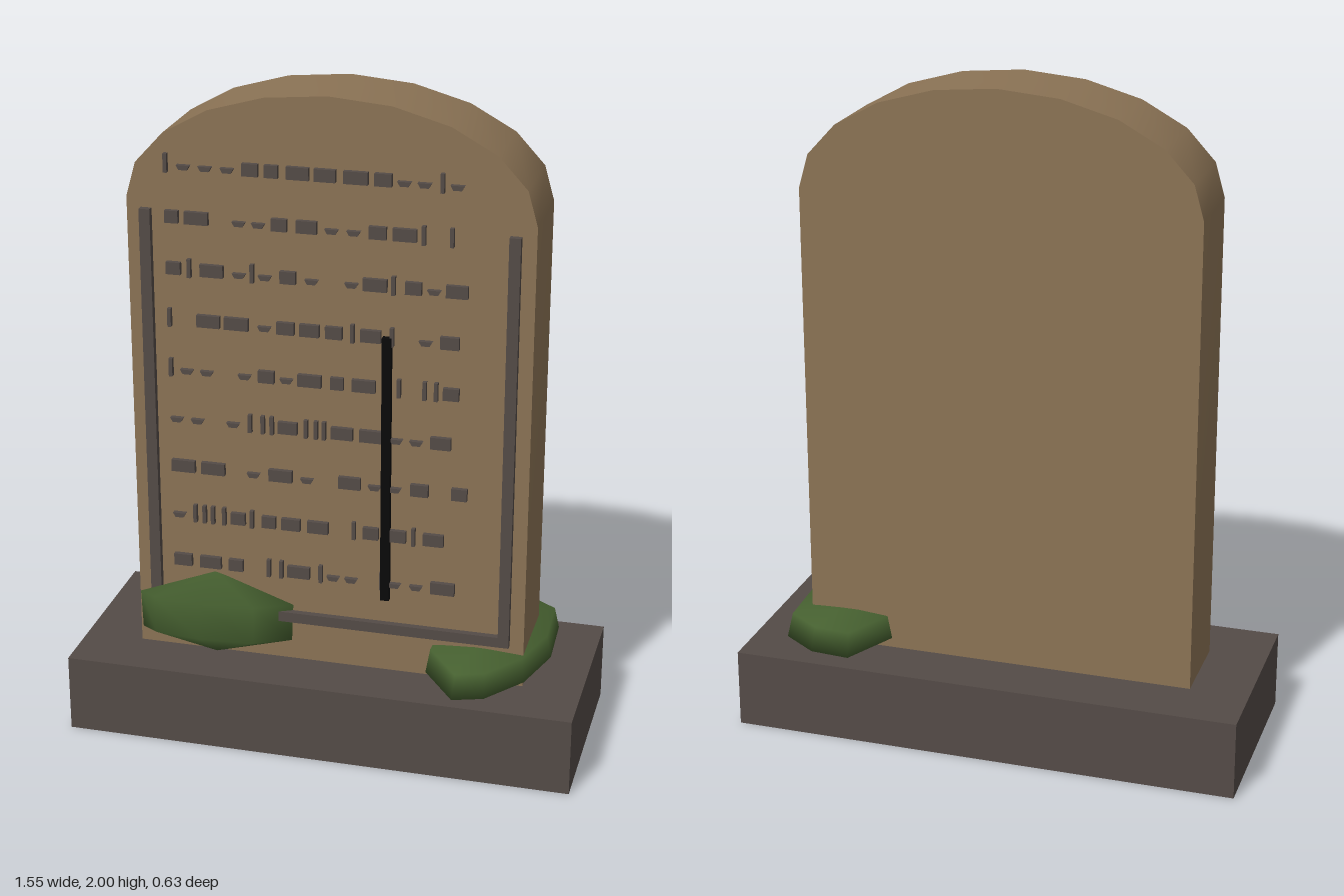
import * as THREE from 'three';
import { mergeGeometries, mergeVertices, toCreasedNormals } from 'three/addons/utils/BufferGeometryUtils.js';

const mat = (name, color) => Object.assign(new THREE.MeshStandardMaterial({ color }), { name });

const FACE = 0.125; // z of the slab's front face

function box(x0, x1, y0, y1, z0, z1) {
  return new THREE.BoxGeometry(x1 - x0, y1 - y0, z1 - z0)
    .translate((x0 + x1) / 2, (y0 + y1) / 2, (z0 + z1) / 2);
}

// Round-topped slab
function slabGeometry() {
  const shape = new THREE.Shape();
  shape.moveTo(-0.597, 0.24);
  shape.lineTo(0.597, 0.24);
  for (let i = 0; i <= 10; i++) {
    const a = (i / 10) * Math.PI;
    shape.lineTo(0.597 * Math.cos(a), 1.67 + 0.33 * Math.sin(a));
  }
  const geo = new THREE.ExtrudeGeometry(shape, { depth: FACE + 0.137, bevelEnabled: false });
  return toCreasedNormals(geo.translate(0, 0, -0.137), 0.6);
}

// Small bowl-shaped mark, flat on top
function dishGeometry(x, y) {
  const shape = new THREE.Shape();
  shape.moveTo(-0.02, 0);
  shape.lineTo(-0.012, -0.014);
  shape.lineTo(0.012, -0.014);
  shape.lineTo(0.02, 0);
  return new THREE.ExtrudeGeometry(shape, { depth: 0.015, bevelEnabled: false }).translate(x, y, FACE);
}

// Nine rows of raised marks: thin ticks, small dishes and blocks of varying width
function inscriptionGeometry() {
  let seed = 7;
  const random = () => {
    seed = (seed * 16807) % 2147483647;
    return seed / 2147483647;
  };
  const parts = [];
  const plate = (x, y, w, h) => parts.push(
    box(x - w / 2, x + w / 2, y - h / 2, y + h / 2, FACE - 0.005, FACE + 0.015).toNonIndexed());
  for (let row = 0; row < 9; row++) {
    const y = 1.776 - 0.155 * row;
    let x = -0.48;
    while (x < 0.385) {
      const kind = random();
      const width = kind < 0.2 ? 0.011 : kind < 0.57 ? 0.04 : 0.038 + 0.035 * random();
      const middle = x + width / 2;
      if (kind < 0.2) plate(middle, y + 0.003, width, 0.056);
      else if (kind < 0.57) parts.push(dishGeometry(middle, y));
      else plate(middle, y, width, 0.037);
      x += width + 0.013 + 0.016 * random() + (random() < 0.2 ? 0.05 : 0);
    }
  }
  return mergeGeometries(parts);
}

// Shrub: a ground outline [x, z] repeated at several levels [y, scale] from top to bottom
function shrubGeometry(outline, [cx, cz], levels) {
  const n = outline.length;
  const pos = [];
  const index = [];
  levels.forEach(([y, s]) => outline.forEach(([x, z]) => pos.push(cx + (x - cx) * s, y, cz + (z - cz) * s)));
  for (let j = 0; j < levels.length - 1; j++) {
    for (let i = 0; i < n; i++) {
      const k = (i + 1) % n;
      const [a, b, c, d] = [j * n + i, j * n + k, (j + 1) * n + i, (j + 1) * n + k];
      index.push(a, b, c, b, d, c);
    }
  }
  let geo = new THREE.BufferGeometry();
  geo.setAttribute('position', new THREE.Float32BufferAttribute(pos, 3));
  geo.setIndex(index);
  geo = mergeVertices(geo); // joins the poles
  geo.computeVertexNormals();
  return geo;
}

export function createModel() {
  const group = new THREE.Group();
  group.name = 'standingStone';
  const stone = mat('brownStone', 0x8b7355);
  const dark = mat('darkStone', 0x544b47);
  const moss = mat('mossGreen', 0x466030);
  const black = mat('crackBlack', 0x0a0a0a);
  const add = (name, geo, material) => {
    const mesh = new THREE.Mesh(geo, material);
    mesh.name = name;
    group.add(mesh);
  };

  add('base', box(-0.775, 0.775, 0, 0.24, -0.315, 0.302), dark);
  add('slab', slabGeometry(), stone);

  // Border strips on the front face
  add('borderRight', box(-0.555, -0.522, 0.37, 1.64, FACE - 0.005, 0.145), dark);
  add('borderLeft', box(0.522, 0.555, 0.37, 1.64, FACE - 0.005, 0.145), dark);
  add('borderBottom', box(-0.522, 0.522, 0.37, 0.402, FACE - 0.005, 0.145), dark);

  add('inscription', inscriptionGeometry(), dark);
  add('crack', box(0.163, 0.19, 0.48, 1.312, FACE - 0.005, 0.144), black);

  // Shrubs growing around the foot of the slab
  add('frontShrub', shrubGeometry(
    [[-0.5, 0.06], [-0.2, 0.06], [-0.11, 0.125], [-0.22, 0.18], [-0.39, 0.195], [-0.535, 0.18], [-0.587, 0.15]],
    [-0.35, 0.14],
    [[0.51, 0], [0.42, 1], [0.3, 0.98], [0.24, 0]]), moss);
  add('sideShrub', shrubGeometry(
    [[0.42, -0.305], [0.54, -0.295], [0.648, -0.22], [0.657, -0.02], [0.606, 0.154],
      [0.51, 0.282], [0.42, 0.313], [0.31, 0.166], [0.32, -0.1]],
    [0.47, 0],
    [[0.358, 0], [0.342, 0.93], [0.27, 1], [0.242, 0.55], [0.241, 0]]), moss);

  return group;
}
